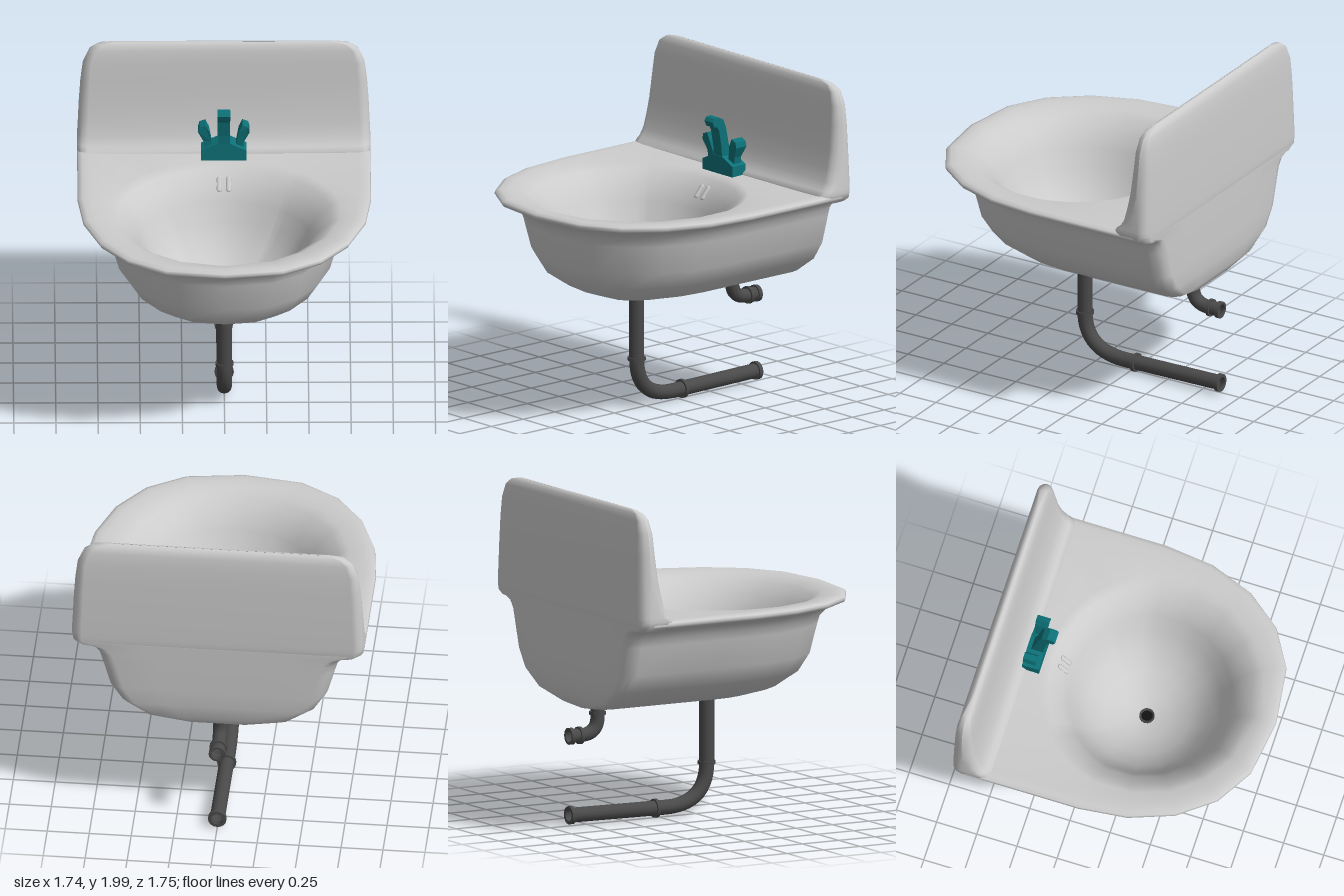
import * as THREE from 'three';

const paint = (color) => new THREE.MeshStandardMaterial({ color, side: THREE.DoubleSide });
const ceramic = paint(0xcccccc), pipeMat = paint(0x4a4a4a), dark = paint(0x111111);
const teal = paint(0x0d7278);
teal.flatShading = true;

function add(parent, name, geometry, material) {
  const mesh = new THREE.Mesh(geometry, material);
  mesh.name = name;
  parent.add(mesh);
  return mesh;
}

// Skin closed rings of [x, y, z] points, each ring having the same count
function loft(rings) {
  const n = rings[0].length, index = [];
  for (let k = 0; k < rings.length - 1; k++) {
    for (let j = 0; j < n; j++) {
      const a = k * n + j, b = k * n + (j + 1) % n;
      index.push(a, a + n, b, b, a + n, b + n);
    }
  }
  const g = new THREE.BufferGeometry();
  g.setAttribute('position', new THREE.Float32BufferAttribute(rings.flat(2), 3));
  g.setIndex(index);
  g.computeVertexNormals();
  return g;
}

// Quarter-round corner, starting at quadrant q
function corner(cx, cz, r, q, y) {
  return [0, 1, 2, 3].map((i) => {
    const a = (q + i / 3) * Math.PI / 2;
    return [cx + r * Math.cos(a), y, cz + r * Math.sin(a)];
  });
}

// Plan outline of the basin: bowed front, straight sides, rounded back corners
function basinRing(w, front, z0, back, y) {
  const pts = [], r = Math.min(0.09, w);
  for (let i = 0; i <= 10; i++) {
    const a = i * Math.PI / 10, c = Math.cos(a);
    const x = i === 5 ? 0 : Math.sign(c) * Math.abs(c) ** 0.78;
    pts.push([w * x, y, z0 + (front - z0) * Math.sin(a)]);
  }
  const sides = [0.3, 0.65].map((t) => z0 + (back + r - z0) * t);
  for (const z of sides) pts.push([-w, y, z]);
  pts.push(...corner(-w + r, back + r, r, 2, y));
  for (const t of [-0.6, -0.25, 0, 0.25, 0.6]) pts.push([t * (w - r), y, back]);
  pts.push(...corner(w - r, back + r, r, 3, y));
  for (const z of sides.reverse()) pts.push([w, y, z]);
  return pts;
}

function buildBasin(group) {
  // half-width, front z, start of bow, back z, height
  const rings = [
    [0, 0.1, 0, -0.78, 0.707], [0.25, 0.32, -0.02, -0.815, 0.73], [0.45, 0.47, -0.05, -0.85, 0.785],
    [0.58, 0.61, -0.08, -0.868, 0.88], [0.65, 0.675, -0.08, -0.872, 0.99], [0.7, 0.715, -0.08, -0.874, 1.17],
    [0.715, 0.73, -0.08, -0.874, 1.22], [0.75, 0.775, -0.08, -0.874, 1.265], [0.82, 0.835, -0.08, -0.874, 1.29],
    [0.86, 0.868, -0.08, -0.874, 1.305], [0.87, 0.875, -0.08, -0.874, 1.32], [0.865, 0.87, -0.08, -0.865, 1.335],
    [0.84, 0.845, -0.08, -0.84, 1.345], [0.8, 0.805, -0.08, -0.8, 1.343],
  ].map((p) => basinRing(...p));

  // Bowl: the outline gathered into rounds of shrinking radius
  const plan = rings[rings.length - 1];
  const bowl = [[0.63, 1.335], [0.58, 1.305], [0.51, 1.24], [0.46, 1.15], [0.41, 1.04],
    [0.34, 0.93], [0.24, 0.84], [0.13, 0.79], [0.035, 0.775]];
  for (const [r, y] of bowl) {
    rings.push(plan.map(([x, , z]) => {
      const d = Math.hypot(x, z - 0.07), dz = (z - 0.07) / d;
      return [x / d * r * 1.1, y, 0.07 + dz * r * (dz > 0 ? 1.1 : 1)];
    }));
  }
  add(group, 'basin', loft(rings), ceramic);
}

function buildSplashback(group) {
  // half-width, front z, back z, height
  const rings = [
    [0.83, -0.68, -0.868, 1.285], [0.865, -0.64, -0.874, 1.31], [0.87, -0.64, -0.875, 1.345],
    [0.87, -0.67, -0.875, 1.37], [0.868, -0.7, -0.875, 1.42], [0.864, -0.72, -0.874, 1.5],
    [0.86, -0.74, -0.872, 1.6], [0.85, -0.757, -0.868, 1.75], [0.835, -0.767, -0.862, 1.87],
    [0.8, -0.778, -0.853, 1.95], [0.75, -0.79, -0.84, 1.985], [0.66, -0.805, -0.822, 2],
    [0.62, -0.813, -0.814, 2],
  ].map(([w, f, b, y]) => {
    const r = Math.min(0.06, (f - b) / 2);
    return [[w - r, f - r, 0], [r - w, f - r, 1], [r - w, b + r, 2], [w - r, b + r, 3]]
      .flatMap(([x, z, q]) => corner(x, z, r, q, y));
  });
  add(group, 'splashback', loft(rings), ceramic);
}

// Extruded outline, centred along its depth
function slab(points, depth) {
  const shape = new THREE.Shape(points.map((p) => new THREE.Vector2(...p)));
  return new THREE.ExtrudeGeometry(shape, { depth, bevelEnabled: false }).translate(0, 0, -depth / 2);
}

function buildTap(group) {
  const tap = new THREE.Group();
  tap.name = 'tap';
  group.add(tap);
  const base = [[-0.135, 1.33], [0.135, 1.33], [0.135, 1.4], [0.04, 1.445], [-0.04, 1.445], [-0.135, 1.4]];
  add(tap, 'tapBase', slab(base, 0.105), teal).position.z = -0.612;

  // Spout profile is drawn in z, y and turned to face the front
  const spout = [[-0.655, 1.4], [-0.565, 1.4], [-0.56, 1.5], [-0.542, 1.6], [-0.525, 1.632],
    [-0.505, 1.63], [-0.49, 1.665], [-0.505, 1.685], [-0.54, 1.688], [-0.575, 1.668], [-0.595, 1.62], [-0.62, 1.5]];
  add(tap, 'spout', slab(spout, 0.075).rotateY(-Math.PI / 2), teal);

  const handle = [[0.065, 1.39], [0.115, 1.39], [0.122, 1.45], [0.153, 1.515], [0.145, 1.548],
    [0.11, 1.562], [0.088, 1.515], [0.075, 1.45]];
  for (const s of [1, -1]) {
    const g = slab(handle.map(([x, y]) => [s * x, y]), 0.08);
    const p = g.attributes.position;
    for (let i = 0; i < p.count; i++) if (p.getY(i) < 1.5) p.setZ(i, p.getZ(i) * 0.65);
    add(tap, s > 0 ? 'leftHandle' : 'rightHandle', g, teal).position.z = -0.615;
  }
}

// Hollow ring around a pipe, along y by default
function collar(group, name, inner, outer, height, y, z, alongZ) {
  const h = height / 2;
  const profile = [[inner, -h], [outer, -h], [outer, -h], [outer, h], [outer, h], [inner, h], [inner, -h]];
  const g = new THREE.LatheGeometry(profile.map((p) => new THREE.Vector2(...p)), 16);
  const mesh = add(group, name, g, pipeMat);
  mesh.position.set(0, y, z);
  if (alongZ) mesh.rotation.x = Math.PI / 2;
}

// Pipe with a straight run down, a bend and a straight run back
function pipe(group, name, radius, start, bendTop, bendCorner, bendEnd, end) {
  const v = ([y, z]) => new THREE.Vector3(0, y, z);
  const path = new THREE.CurvePath();
  path.add(new THREE.LineCurve3(v(start), v(bendTop)));
  path.add(new THREE.QuadraticBezierCurve3(v(bendTop), v(bendCorner), v(bendEnd)));
  path.add(new THREE.LineCurve3(v(bendEnd), v(end)));
  add(group, name, new THREE.TubeGeometry(path, 48, radius, 12), pipeMat);
}

function buildPlumbing(group) {
  pipe(group, 'wastePipe', 0.045, [0.765, 0.075], [0.31, 0.075], [0.05, 0.075], [0.063, -0.24], [0.07, -0.87]);
  collar(group, 'wasteCollar', 0.04, 0.054, 0.02, 0.31, 0.075);
  collar(group, 'wasteCollar', 0.04, 0.057, 0.02, 0.063, -0.28, true);
  collar(group, 'wasteFlange', 0.036, 0.055, 0.025, 0.07, -0.862, true);

  pipe(group, 'overflowPipe', 0.042, [0.74, -0.675], [0.65, -0.675], [0.545, -0.675], [0.545, -0.79], [0.545, -0.87]);
  collar(group, 'overflowCollar', 0.038, 0.05, 0.02, 0.67, -0.675);
  collar(group, 'overflowCollar', 0.038, 0.053, 0.02, 0.545, -0.8, true);
  collar(group, 'overflowFlange', 0.036, 0.051, 0.025, 0.545, -0.862, true);

  // Drain in the bottom of the bowl
  collar(group, 'drainRing', 0.034, 0.046, 0.02, 0.778, 0.07);
  const hole = add(group, 'drainHole', new THREE.CircleGeometry(0.036, 16), dark);
  hole.rotation.x = -Math.PI / 2;
  hole.position.set(0, 0.778, 0.07);

  // Pair of overflow slots on the back slope of the bowl
  for (const s of [1, -1]) {
    const slot = add(group, 'overflowSlot', new THREE.CapsuleGeometry(0.016, 0.065, 4, 10), ceramic);
    slot.scale.z = 0.5;
    slot.rotation.x = -0.7;
    slot.position.set(s * 0.028, 1.24, -0.44);
  }
}

export function createModel() {
  const group = new THREE.Group();
  group.name = 'washbasin';
  buildBasin(group);
  buildSplashback(group);
  buildTap(group);
  buildPlumbing(group);
  return group;
}
